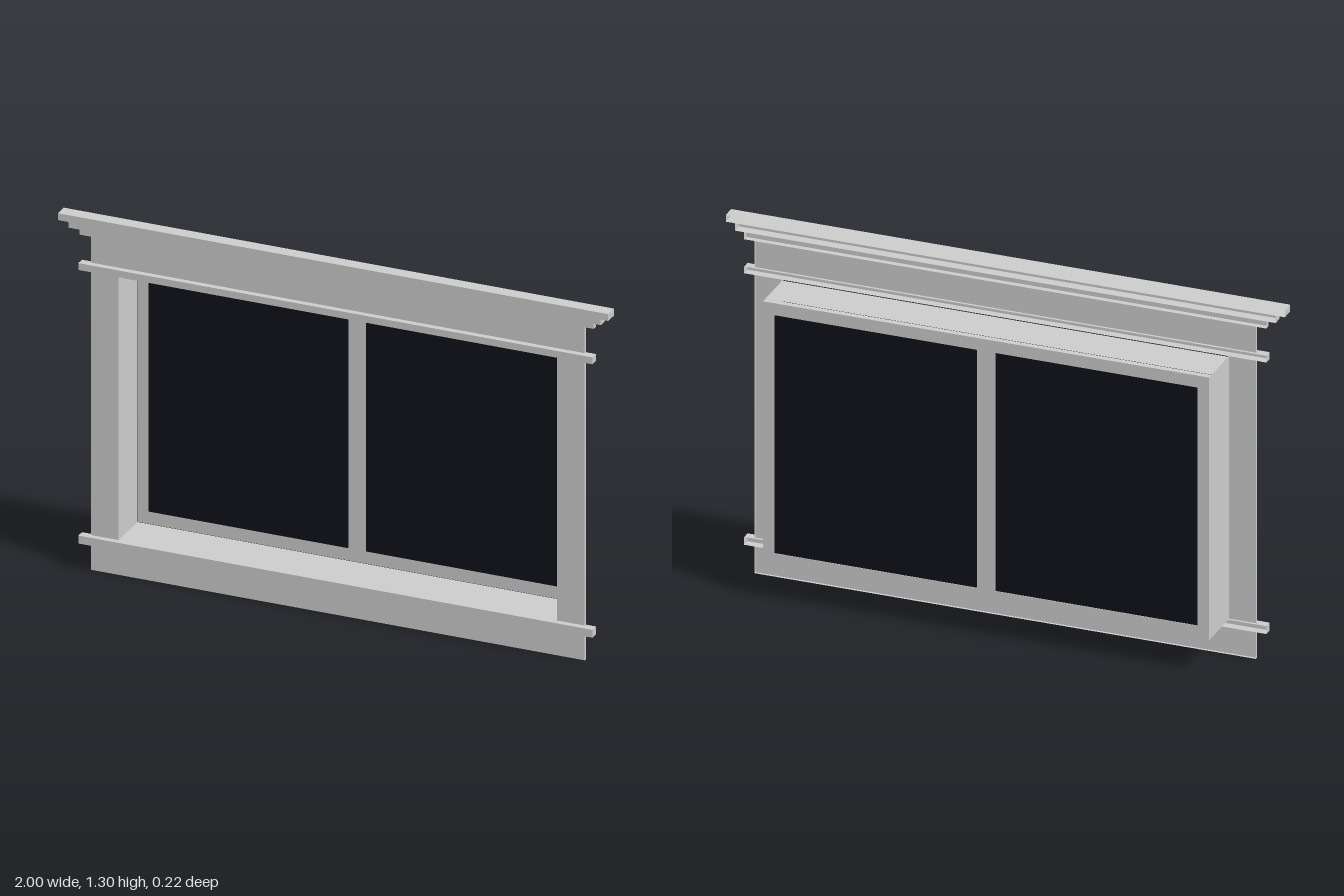
import * as THREE from 'three';

const grey = new THREE.MeshStandardMaterial({ color: 0xcccccc, side: THREE.DoubleSide });
const dark = new THREE.MeshStandardMaterial({ color: 0x0d1119 });

const BACK = 0.062; // wall plane that all trim sits on

// Box between two corners; faces counts how many sides are kept
// (order: +x, -x, +y, -y, front, back)
function box(name, [x0, x1], [y0, y1], [z0, z1], material = grey, faces = 6) {
  const geometry = new THREE.BoxGeometry(x1 - x0, y1 - y0, z1 - z0);
  geometry.setIndex(Array.from(geometry.index.array).slice(0, faces * 6));
  geometry.clearGroups();
  const mesh = new THREE.Mesh(geometry, material);
  mesh.position.set((x0 + x1) / 2, (y0 + y1) / 2, (z0 + z1) / 2);
  mesh.name = name;
  return mesh;
}

// Trim strip, open at the back
const trim = (name, xs, ys, front) => box(name, xs, ys, [BACK, front], grey, 5);

function rectangle(target, x0, x1, y0, y1) {
  target.moveTo(x0, y0);
  target.lineTo(x1, y0);
  target.lineTo(x1, y1);
  target.lineTo(x0, y1);
  target.closePath();
  return target;
}

export function createModel() {
  const model = new THREE.Group();
  model.name = 'window';

  // Flat casing boards
  model.add(trim('apron', [-0.897, 0.897], [0, 0.098], 0.071));
  model.add(trim('header', [-0.897, 0.897], [1.122, 1.222], 0.071));
  for (const side of [-1, 1]) {
    const xs = side > 0 ? [0.797, 0.897] : [-0.897, -0.797];
    model.add(trim(side > 0 ? 'leftCasing' : 'rightCasing', xs, [0.127, 1.097], 0.071));
  }

  // Projecting strips
  model.add(trim('sill', [-0.934, 0.934], [0.098, 0.127], 0.092));
  model.add(trim('headerStrip', [-0.934, 0.934], [1.097, 1.122], 0.092));

  // Stepped crown
  const crown = new THREE.Group();
  crown.name = 'crown';
  crown.add(trim('crownLower', [-0.934, 0.934], [1.222, 1.248], 0.082));
  crown.add(trim('crownMiddle', [-0.967, 0.967], [1.248, 1.275], 0.098));
  crown.add(trim('crownTop', [-1, 1], [1.275, 1.3], 0.111));
  model.add(crown);

  // Deep reveal, open at front and back
  model.add(box('reveal', [-0.798, 0.798], [0.127, 1.094], [-0.087, BACK], grey, 4));

  // Sash with two openings, each with its pane
  const outline = rectangle(new THREE.Shape(), -0.798, 0.798, 0.127, 1.094);
  const paneY = [0.174, 1.05];
  for (const [name, xs] of [['rightPane', [-0.757, -0.033]], ['leftPane', [0.033, 0.757]]]) {
    outline.holes.push(rectangle(new THREE.Path(), ...xs, ...paneY));
    model.add(box(name, xs, paneY, [-0.109, -0.084], dark));
  }
  const sash = new THREE.Mesh(
    new THREE.ExtrudeGeometry(outline, { depth: 0.022, bevelEnabled: false }), grey);
  sash.position.z = -0.111;
  sash.name = 'sash';
  model.add(sash);

  return model;
}
